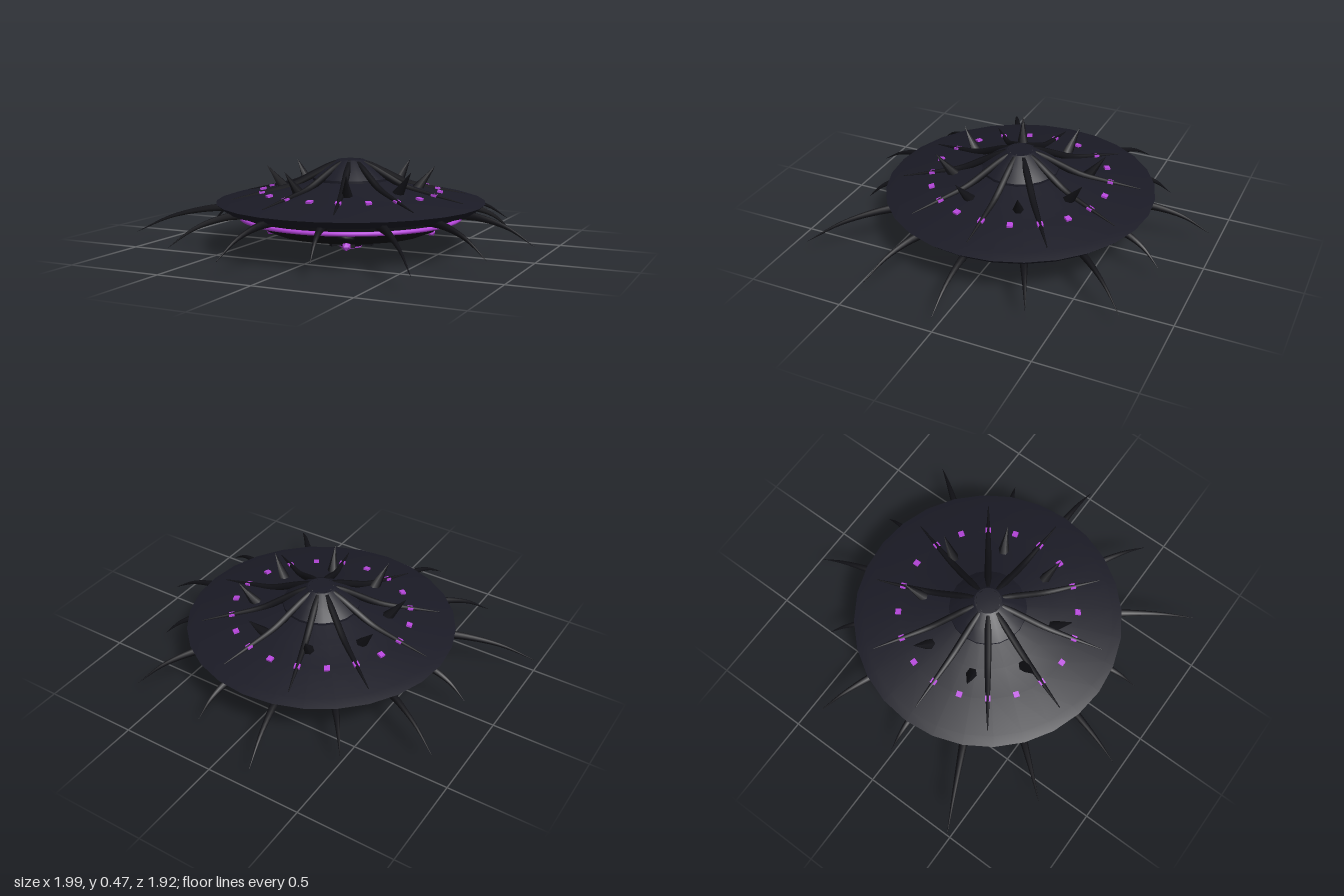
import * as THREE from 'three';
import { toCreasedNormals } from 'three/addons/utils/BufferGeometryUtils.js';

const mat = (name, color) => new THREE.MeshStandardMaterial({ name, color });

// Turned body from [radius, height] points, listed bottom to top
function turned(points, sides, crease = 0.45) {
  const g = new THREE.LatheGeometry(points.map(([r, y]) => new THREE.Vector2(r, y)), sides);
  return toCreasedNormals(g, crease);
}

// Tube along [radius, height] points in the local XY plane, narrowing by radiusAt(t)
function taperedTube(points, steps, sides, radiusAt) {
  const curve = new THREE.CatmullRomCurve3(points.map(([r, y]) => new THREE.Vector3(r, y, 0)));
  const g = new THREE.TubeGeometry(curve, steps, 1, sides, false);
  const p = g.attributes.position;
  const v = new THREE.Vector3();
  for (let i = 0; i <= steps; i++) {
    const c = curve.getPointAt(i / steps);
    for (let j = 0; j <= sides; j++) {
      const k = i * (sides + 1) + j;
      v.fromBufferAttribute(p, k).sub(c).multiplyScalar(radiusAt(i / steps)).add(c);
      p.setXYZ(k, v.x, v.y, v.z);
    }
  }
  return g;
}

export function createModel() {
  const hull = mat('dark hull', 0x1b1b26);
  const black = mat('near black', 0x121217);
  const glow = mat('violet light', 0xb846de);

  const model = new THREE.Group();
  const craft = new THREE.Group();
  craft.name = 'saucer';
  craft.position.x = 0.011;
  model.add(craft);

  const add = (name, geometry, material, parent = craft) => {
    const m = new THREE.Mesh(geometry, material);
    m.name = name;
    parent.add(m);
    return m;
  };
  // Calls build(arm, k) for count arms spread around the vertical axis
  const around = (name, count, start, build) => {
    for (let k = 0; k < count; k++) {
      const arm = new THREE.Group();
      arm.name = name;
      arm.rotation.y = -(start + (k * Math.PI * 2) / count);
      craft.add(arm);
      build(arm, k);
    }
  };

  // Main disc, dome and stepped belly
  add('disc', turned([[0.56, 0.195], [0.66, 0.21], [0.7, 0.245], [0.65, 0.26],
    [0.466, 0.294], [0.32, 0.325], [0.15, 0.37]], 28), hull);
  add('dome', turned([[0.2, 0.345], [0.2, 0.37], [0.14, 0.418], [0.07, 0.461], [0, 0.465]], 20), hull);
  add('belly', turned([[0, 0.086], [0.4, 0.088], [0.455, 0.11], [0.47, 0.15],
    [0.565, 0.16], [0.575, 0.2]], 28, 1.2), black);

  // Glowing trim rings
  const ring = (name, r, tube, y) => {
    const m = add(name, new THREE.TorusGeometry(r, tube, 8, 56), glow);
    m.rotation.x = Math.PI / 2;
    m.position.y = y;
  };
  ring('outerRing', 0.573, 0.011, 0.169);
  ring('innerRing', 0.312, 0.009, 0.091);

  // Slim ribs running down from the crown
  const rib = taperedTube([[0.055, 0.45], [0.12, 0.425], [0.2, 0.385], [0.31, 0.333],
    [0.45, 0.3], [0.62, 0.266]], 20, 6, (t) => 0.002 + 0.016 * Math.sin(Math.PI * (0.3 + 0.7 * t)));
  around('rib', 10, 0, (arm) => add('ribTube', rib, black, arm));

  // Curved spikes around the rim, of three lengths
  const lengths = [0.985, 0.98, 1.115, 0.84, 0.98, 0.98, 1.12, 0.845, 0.985, 0.845, 0.985, 0.84, 0.985, 0.845];
  around('rimSpike', lengths.length, 0, (arm, k) => {
    const base = 0.57;
    const span = lengths[k] - base;
    const path = [[base, 0.213], [base + span * 0.33, 0.202], [base + span * 0.68, 0.16], [lengths[k], 0.08]];
    add('spike', taperedTube(path, 14, 6, (t) => 0.025 * (1 - t) + 0.0008), black, arm);
  });

  // Horns on the upper surface, leaning outward
  const horn = new THREE.ConeGeometry(0.032, 0.16, 6);
  around('horn', 8, Math.PI / 8, (arm) => {
    const m = add('hornCone', horn, black, arm);
    m.position.set(0.39, 0.366, 0);
    m.rotation.z = -0.66;
  });

  // Small lights on the upper surface, half of them straddled by ribs
  const lamp = new THREE.BoxGeometry(0.029, 0.018, 0.029);
  around('topLight', 20, 0, (arm) => {
    const m = add('topLamp', lamp, glow, arm);
    m.position.set(0.464, 0.296, 0);
    m.rotation.z = -0.18;
  });

  // Pods under the belly, each with a hanging light
  const pod = new THREE.SphereGeometry(1, 12, 8);
  const gem = new THREE.IcosahedronGeometry(0.023, 0);
  around('pod', 4, Math.PI * 3 / 8, (arm) => {
    const shell = add('podShell', pod, black, arm);
    shell.scale.set(0.05, 0.022, 0.046);
    shell.position.set(0.445, 0.125, 0);
    shell.rotation.z = 0.3;
    add('podLight', gem, glow, arm).position.set(0.422, 0.081, 0);
  });

  // Emitter at the bottom with six fins
  add('emitterPlate', turned([[0, 0.08], [0.185, 0.08], [0.195, 0.09]], 24), black);
  add('emitter', turned([[0, 0.008], [0.06, 0.008], [0.075, 0.03], [0.11, 0.085]], 12), black);
  const lens = add('emitterLens', new THREE.CylinderGeometry(0.06, 0.058, 0.01, 12), glow);
  lens.position.y = 0.005;
  const fin = new THREE.BoxGeometry(0.08, 0.07, 0.022);
  around('emitterFin', 6, 0, (arm) => {
    add('fin', fin, black, arm).position.set(0.087, 0.05, 0);
  });

  return model;
}
